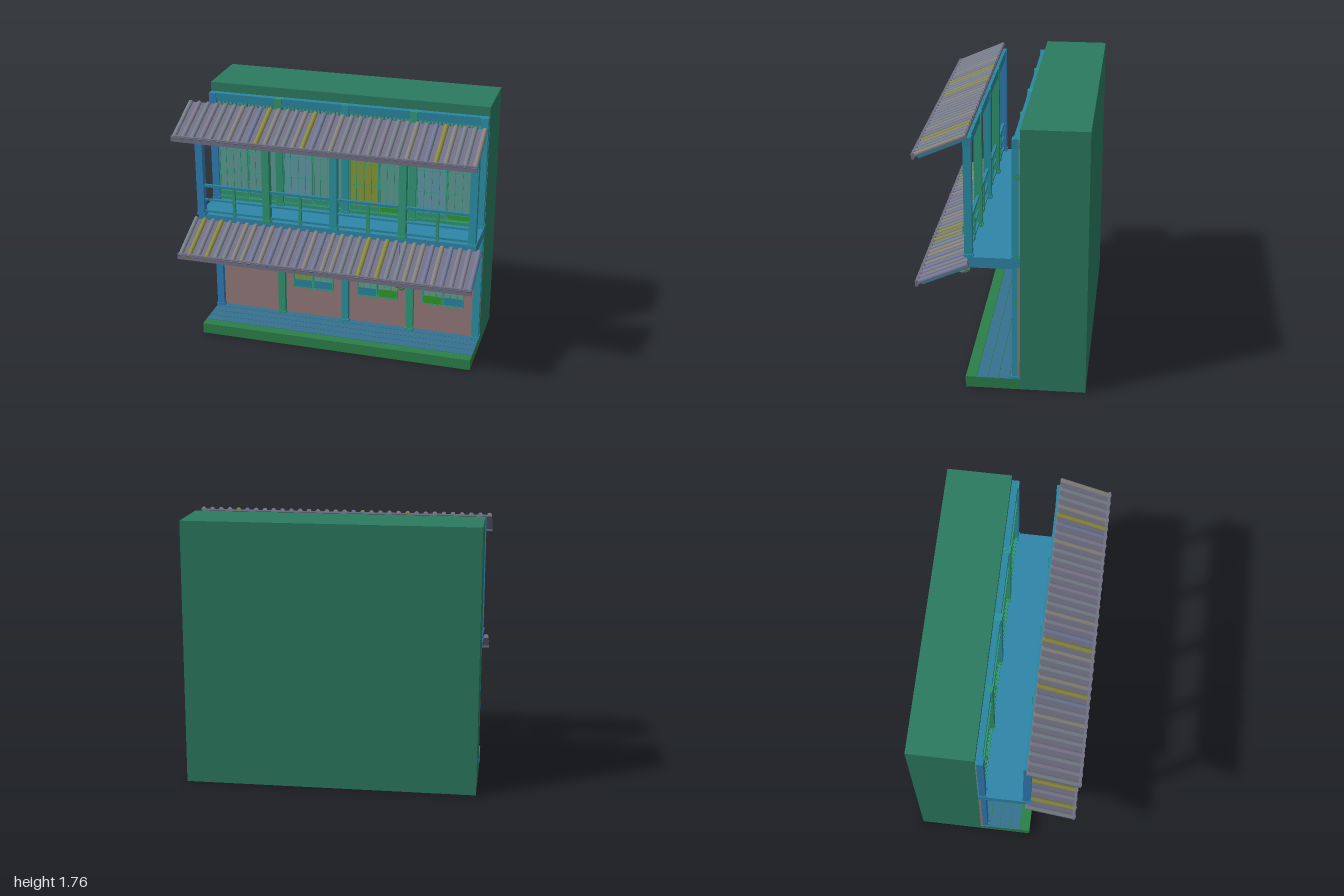
import * as THREE from 'three';

const C = {
  block: 0x2b7a5f, base: 0x2c7f4a, floor: 0x2f86a8, beam: 0x2a86a0, trim: 0x2f9470, wall: 0x93797a,
  paper: 0x5f9a94, blue: 0x6098a8, olive: 0x86983a, glass: 0x6a9c8c, rafter: 0x2f8f7a, tile: 0x706f84, bar: 0x35a080, green: 0x2f9a2a,
};
const mats = {};
const mat = (c) => (mats[c] ??= new THREE.MeshStandardMaterial({ color: c, flatShading: true }));

// box given by its min and max corners
function box(parent, name, color, x0, x1, y0, y1, z0, z1) {
  const m = new THREE.Mesh(new THREE.BoxGeometry(x1 - x0, y1 - y0, z1 - z0), mat(color));
  m.position.set((x0 + x1) / 2, (y0 + y1) / 2, (z0 + z1) / 2);
  m.name = name;
  parent.add(m);
  return m;
}
function group(parent, name) {
  const g = new THREE.Group();
  g.name = name;
  parent.add(g);
  return g;
}

const X0 = -0.965, X1 = 0.962, BAY = 0.469;
const postX = [0, 1, 2, 3, 4].map((i) => -0.94 + BAY * i);
const postColor = [0x2f7db5, 0x2f9470, 0x2a93a0, 0x2f9a78, 0x2a90a8];

// square post with a wider foot
function post(parent, name, color, x, z, y0, y1) {
  const g = group(parent, name);
  box(g, 'shaft', color, x - 0.025, x + 0.025, y0, y1, z - 0.025, z + 0.025);
  box(g, 'foot', color, x - 0.03, x + 0.03, y0, y0 + 0.016, z - 0.03, z + 0.03);
  return g;
}

// framed panel with a lattice of thin bars and a solid board below
function lattice(parent, name, color, x0, x1, y0, y1, z, cols, rows, boardH, boardColor) {
  const g = group(parent, name), f = 0.008;
  box(g, 'pane', color, x0, x1, y0, y1, z - 0.008, z);
  box(g, 'lowerBoard', boardColor, x0, x1, y0, y0 + boardH, z - 0.008, z + 0.004);
  for (const [a, b] of [[x0, x0 + f], [x1 - f, x1]]) box(g, 'stile', C.bar, a, b, y0, y1, z - 0.008, z + 0.006);
  for (const [a, b] of [[y0, y0 + f], [y1 - f, y1]]) box(g, 'frameRail', C.bar, x0, x1, a, b, z - 0.008, z + 0.006);
  const b0 = y0 + boardH;
  for (let i = 1; i < cols; i++) {
    const x = x0 + ((x1 - x0) * i) / cols;
    box(g, 'bar', C.bar, x - 0.002, x + 0.002, b0, y1, z - 0.004, z + 0.004);
  }
  for (let j = 1; j < rows; j++) {
    const y = b0 + ((y1 - b0) * j) / rows;
    box(g, 'crossBar', C.bar, x0, x1, y - 0.002, y + 0.002, z - 0.004, z + 0.003);
  }
}

// sloping tiled canopy; y is the height of its upper edge
function canopy(parent, name, y) {
  const g = group(parent, name), s = group(g, 'slope'), L = 0.36, n = 33;
  s.position.set(0, y, 0.2);
  s.rotation.x = 0.41;
  box(s, 'roofBoard', C.tile, -1, 1, 0, 0.012, 0, L);
  const rib = new THREE.CylinderGeometry(0.016, 0.016, L, 6, 1, false, Math.PI / 2, Math.PI);
  rib.rotateX(Math.PI / 2);
  const tints = [0x7c7b8e, 0x77808a, 0x6f7896, 0x85837f, 0x8a8a40];
  for (let i = 0; i < n; i++) {
    const k = (i * 7 + i * i * 3 + Math.round(y * 10)) % 19;
    const m = new THREE.Mesh(rib, mat(tints[k === 0 ? 4 : k % 4]));
    m.name = 'tileRow';
    m.position.set(-0.984 + (1.968 * i) / (n - 1), 0.011, L / 2);
    s.add(m);
  }
  for (let i = 0; i <= 16; i++) {
    const x = postX[0] + (BAY * i) / 4;
    box(s, 'rafter', i % 2 ? C.rafter : C.beam, x - 0.01, x + 0.01, -0.03, -0.012, 0.005, 0.34);
  }
  box(g, 'eaveBoard', C.tile, -1, 1, y - 0.152, y - 0.112, 0.518, 0.536);
}

function lantern(parent) {
  const g = group(parent, 'lantern');
  g.position.set(0.475, 0, 0.309);
  const lathe = (name, color, pts) => {
    const m = new THREE.Mesh(new THREE.LatheGeometry(pts.map((p) => new THREE.Vector2(...p)), 12), mat(color));
    m.name = name;
    g.add(m);
  };
  lathe('shade', 0x8d9a4a, [[0.036, 0.61], [0.055, 0.64], [0.067, 0.675], [0.07, 0.705], [0.067, 0.735], [0.055, 0.77], [0.036, 0.797]]);
  for (const y of [0.594, 0.795]) {
    lathe('rim', 0x6f8a78, [[0, y], [0.042, y], [0.042, y + 0.016], [0, y + 0.016]]);
  }
  box(g, 'cord', C.rafter, -0.003, 0.003, 0.81, 0.91, -0.003, 0.003);
}

export function createModel() {
  const model = new THREE.Group();
  model.name = 'townhouse';

  // main body and walkway
  box(model, 'buildingBlock', C.block, X0, X1, 0, 1.763, -0.535, -0.114);
  box(model, 'walkway', C.base, X0, X1, 0, 0.07, -0.114, 0.235);
  for (let i = 0; i < 5; i++) {
    box(model, 'walkwayPlank', i < 4 ? 0x35708f : C.base, X0, X1, 0.07, 0.075, -0.114 + i * 0.07, -0.118 + (i + 1) * 0.07 + (i === 4 ? 0.003 : 0));
  }

  // ground floor wall
  box(model, 'lowerWall', C.wall, X0, X1, 0.075, 0.86, -0.114, -0.098);
  box(model, 'lowerRail', C.trim, X0, X1, 0.605, 0.635, -0.114, -0.08);
  for (let i = 1; i < 4; i++) {
    const x0 = postX[i] + 0.085, xm = x0 + 0.147, g = group(model, 'window');
    lattice(g, 'leftSash', i === 1 ? C.olive : C.glass, x0, xm, 0.29, 0.55, -0.086, 3, 2, 0.065, i === 3 ? C.green : C.beam);
    lattice(g, 'rightSash', C.glass, xm, xm + 0.147, 0.29, 0.55, -0.09, 3, 2, 0.065, i === 2 ? C.green : C.beam);
  }

  // balcony floor
  box(model, 'balconyFloor', C.floor, X0, X1, 0.85, 0.92, -0.114, 0.212);

  // upper wall: sliding screens, lintel, slatted transom
  box(model, 'upperWall', C.paper, X0, X1, 0.92, 1.7, -0.114, -0.106);
  box(model, 'sill', C.trim, X0, X1, 0.92, 0.942, -0.114, -0.075);
  box(model, 'lintel', C.trim, X0, X1, 1.442, 1.475, -0.114, -0.073);
  box(model, 'wallTopBeam', C.beam, X0, X1, 1.645, 1.7, -0.114, -0.073);
  for (let i = 0; i < 4; i++) {
    const x0 = postX[i] + 0.025, xm = postX[i] + BAY / 2, x1 = postX[i + 1] - 0.025;
    lattice(model, 'leftScreen', [C.paper, C.blue, C.olive, C.blue][i], x0, xm, 0.942, 1.442, -0.086, 4, 3, 0.04, C.trim);
    lattice(model, 'rightScreen', C.paper, xm, x1, 0.942, 1.442, -0.095, 4, 3, 0.04, i > 1 ? C.green : C.trim);
    for (let k = 1; k < 16; k++) {
      const x = x0 + ((x1 - x0) * k) / 16;
      box(model, 'transomSlat', C.rafter, x - 0.005, x + 0.005, 1.475, 1.645, -0.106, -0.092);
    }
  }

  // posts
  postX.forEach((x, i) => {
    post(model, 'wallPost', postColor[i], x, -0.089, 0.075, 1.7);
    box(model, 'upperPostFoot', postColor[i], x - 0.03, x + 0.03, 0.92, 0.936, -0.114, -0.059);
    post(model, 'balconyPost', postColor[i], x, 0.206, 0.92, 1.7);
  });
  box(model, 'balconyTopBeam', C.beam, X0, X1, 1.64, 1.7, 0.186, 0.226);

  // balcony railing
  const railing = group(model, 'railing');
  for (const [y, h] of [[0.945, 0.007], [1.03, 0.006], [1.133, 0.009]]) {
    box(railing, 'rail', C.beam, postX[0], postX[4], y - h, y + h, 0.206 - h, 0.206 + h);
  }
  for (let i = 0; i < 4; i++) {
    const x = postX[i] + BAY / 2;
    box(railing, 'baluster', C.trim, x - 0.009, x + 0.009, 0.92, 1.128, 0.197, 0.215);
  }

  canopy(model, 'upperCanopy', 1.715);
  canopy(model, 'lowerCanopy', 0.872);
  lantern(model);
  return model;
}
